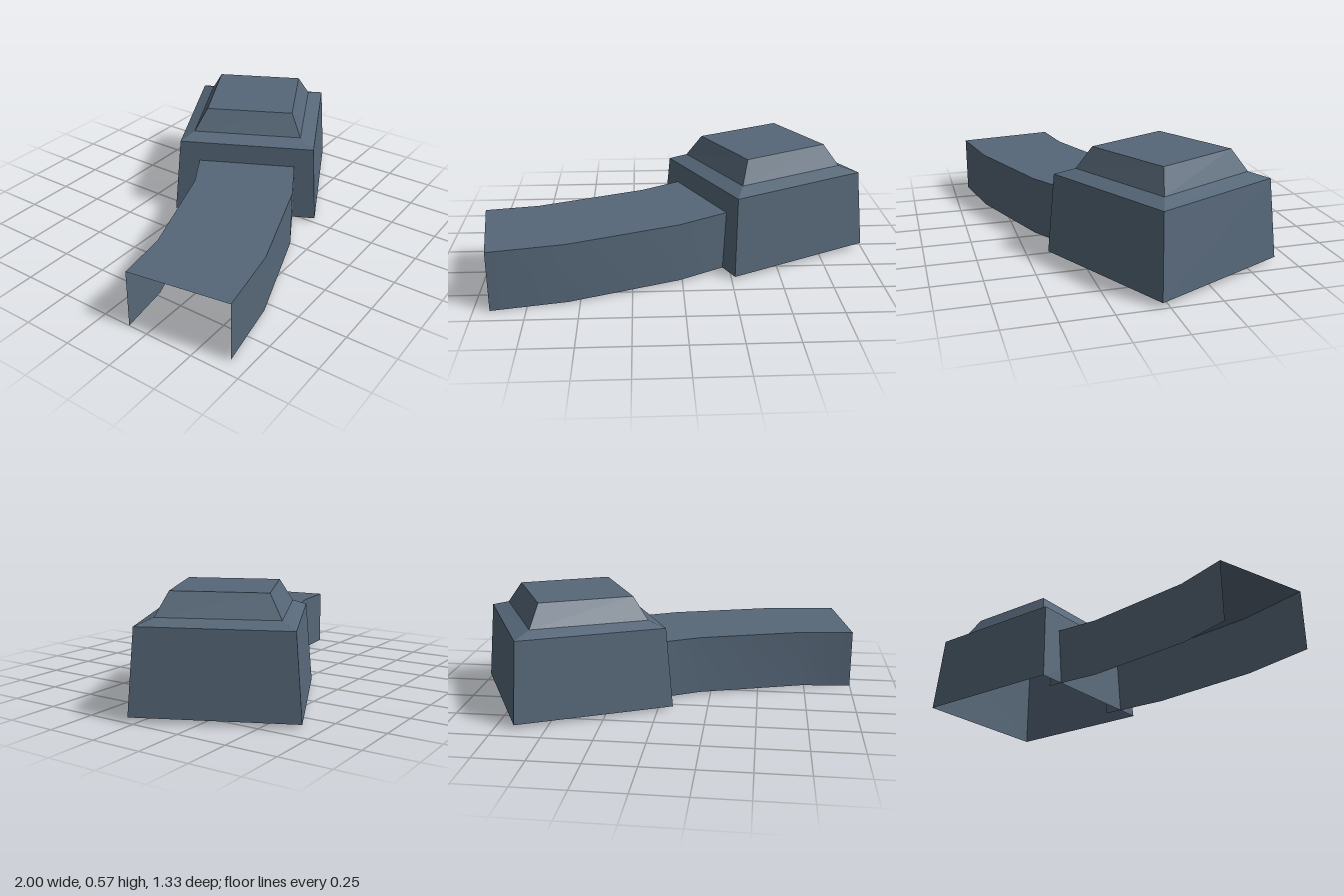
import * as THREE from 'three';

const steel = new THREE.MeshStandardMaterial({ color: 0x566778, side: THREE.DoubleSide });
steel.name = 'slate blue';

// The whole model leans very slightly up towards +x
const lean = (x, y) => y + 0.0175 + 0.0125 * x;

// Surface between two rows of [x, y, z] points
function strip(rowA, rowB, smooth) {
  const positions = [...rowA, ...rowB].flatMap(([x, y, z]) => [x, lean(x, y), z]);
  const n = rowA.length, index = [];
  for (let i = 0; i < n - 1; i++) index.push(i, i + 1, n + i, i + 1, n + i + 1, n + i);
  let geometry = new THREE.BufferGeometry();
  geometry.setAttribute('position', new THREE.Float32BufferAttribute(positions, 3));
  geometry.setIndex(index);
  if (!smooth) geometry = geometry.toNonIndexed();
  geometry.computeVertexNormals();
  return geometry;
}

function add(group, name, geometry) {
  const mesh = new THREE.Mesh(geometry, steel);
  mesh.name = name;
  group.add(mesh);
}

export function createModel() {
  const model = new THREE.Group();
  model.name = 'ventHousing';

  // Hollow tapered head: four square rings, open below
  const head = new THREE.Group();
  head.name = 'head';
  model.add(head);
  const rings = [
    [0, [[-0.075, -0.307], [0.652, -0.666], [0.995, 0.035], [0.267, 0.393]]],
    [0.408, [[-0.038, -0.29], [0.64, -0.626], [0.954, 0.024], [0.277, 0.358]]],
    [0.438, [[0.055, -0.264], [0.594, -0.527], [0.853, -0.012], [0.31, 0.256]]],
    [0.551, [[0.135, -0.233], [0.567, -0.446], [0.77, -0.035], [0.341, 0.18]]],
  ].map(([y, points]) => points.map(([x, z]) => [x, y, z]));
  const names = ['headWalls', 'shoulder', 'crownSlope'];
  names.forEach((name, i) => {
    const low = [...rings[i], rings[i][0]], high = [...rings[i + 1], rings[i + 1][0]];
    add(head, name, strip(low, high));
  });
  const [a, b, c, d] = rings[3];
  add(head, 'crownTop', strip([a, b], [d, c]).scale(1, 1, 1));
  // turn the crown face upwards
  const crown = head.children[3];
  crown.geometry = strip([d, c], [a, b]);

  // Curved duct: top and two side walls, open below and at the ends
  const duct = new THREE.Group();
  duct.name = 'duct';
  model.add(duct);
  const back = [[-1, 0.147], [-0.733, 0.11], [-0.195, -0.078], [-0.01, -0.185], [0.05, -0.219]];
  const front = [[-0.922, 0.66], [-0.556, 0.597], [-0.016, 0.409], [0.225, 0.275], [0.295, 0.235]];
  const at = (points, y) => points.map(([x, z]) => [x, y, z]);
  const top = 0.303;
  add(duct, 'ductTop', strip(at(front, top), at(back, top)));
  add(duct, 'ductFrontWall', strip(at(front, 0), at(front, top), true));
  add(duct, 'ductBackWall', strip(at(back, top), at(back, 0), true));

  return model;
}
